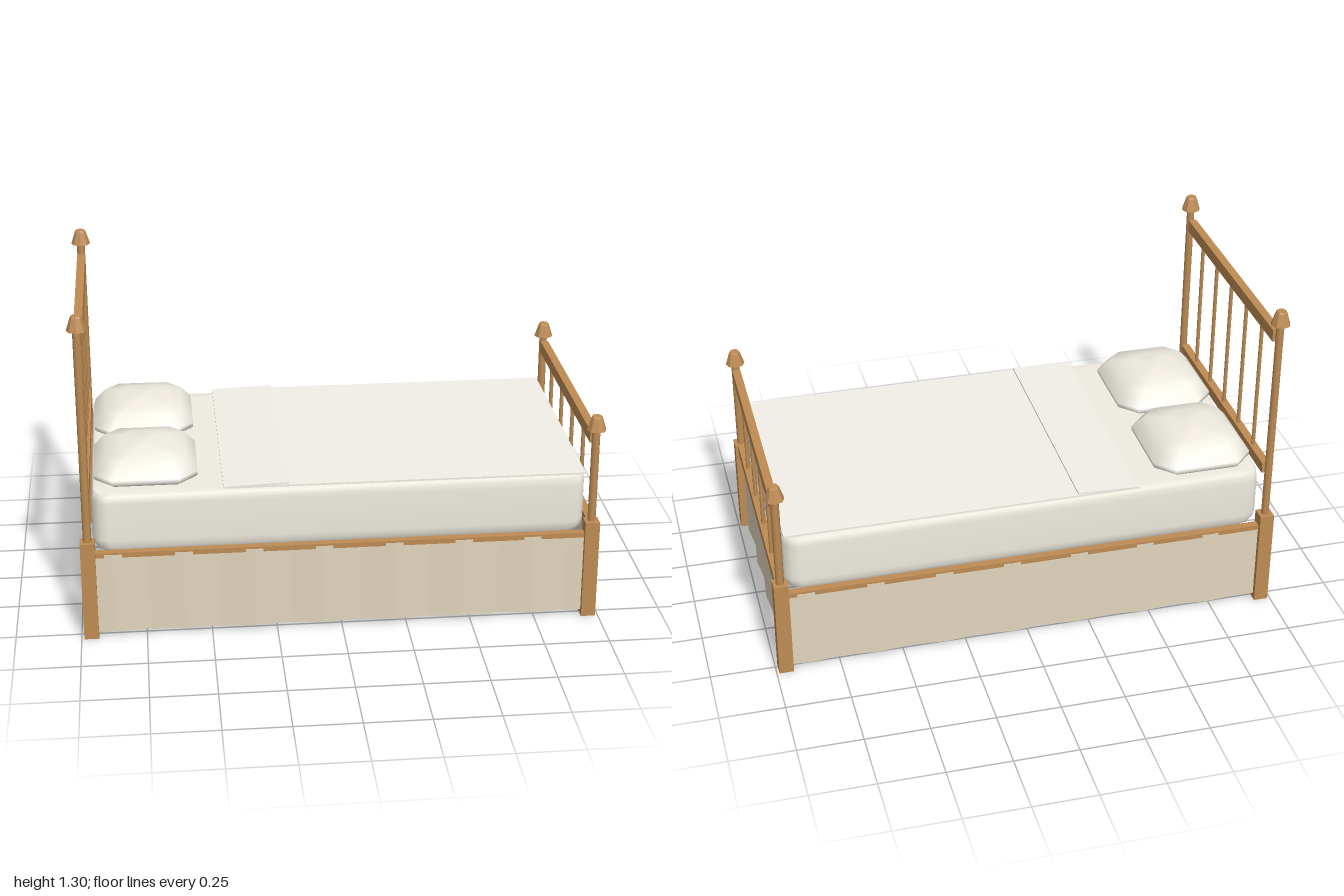
import * as THREE from 'three';

const mat = (color, extra = {}) => new THREE.MeshStandardMaterial({ color, ...extra });

export function createModel() {
  const bed = new THREE.Group();
  bed.name = 'bed';
  const wood = mat(0xbe8c54);
  const woodFlat = mat(0xbe8c54, { flatShading: true });
  const cloth = mat(0xe2d5bc, { flatShading: true, side: THREE.DoubleSide });
  const cream = mat(0xf0ece0, { side: THREE.DoubleSide });
  const linen = mat(0xf2efe8);

  const add = (name, geo, material, x = 0, y = 0, z = 0) => {
    const mesh = new THREE.Mesh(geo, material);
    mesh.name = name;
    mesh.position.set(x, y, z);
    bed.add(mesh);
    return mesh;
  };
  // Box given by its minimum and maximum on each axis
  const block = (name, material, x0, x1, y0, y1, z0, z1) =>
    add(name, new THREE.BoxGeometry(x1 - x0, y1 - y0, z1 - z0), material,
      (x0 + x1) / 2, (y0 + y1) / 2, (z0 + z1) / 2);
  const rod = (name, r, y0, y1, x, z) =>
    add(name, new THREE.CylinderGeometry(r, r, y1 - y0, 8), wood, x, (y0 + y1) / 2, z);

  // Cushion: rounded rectangles stacked as [height, inset] rings, closed on top
  function cushion(hx, hz, radius, steps, rings, closedBottom) {
    const pos = [], index = [];
    const n = 4 * (steps + 1);
    for (const [y, inset] of rings) {
      const fx = (hx - inset) / hx, fz = (hz - inset) / hz;
      for (let c = 0; c < 4; c++) {
        const sx = c === 0 || c === 3 ? 1 : -1, sz = c < 2 ? 1 : -1;
        for (let s = 0; s <= steps; s++) {
          const a = (c + s / steps) * Math.PI / 2;
          pos.push((sx * (hx - radius) + Math.cos(a) * radius) * fx, y,
            (sz * (hz - radius) + Math.sin(a) * radius) * fz);
        }
      }
    }
    for (let r = 0; r < rings.length - 1; r++) {
      for (let i = 0; i < n; i++) {
        const j = (i + 1) % n, a = r * n + i, b = r * n + j;
        index.push(a, a + n, b, b, a + n, b + n);
      }
    }
    const bottom = pos.length / 3, top = bottom + 1, last = (rings.length - 1) * n;
    pos.push(0, rings[0][0], 0, 0, rings[rings.length - 1][0], 0);
    for (let i = 0; i < n; i++) {
      const j = (i + 1) % n;
      index.push(top, last + j, last + i);
      if (closedBottom) index.push(bottom, i, j);
    }
    const geo = new THREE.BufferGeometry();
    geo.setAttribute('position', new THREE.Float32BufferAttribute(pos, 3));
    geo.setIndex(index);
    geo.computeVertexNormals();
    return geo;
  }

  // Gathered cloth hanging in soft waves
  function skirt(name, width, waves, x, z, turn) {
    const geo = new THREE.PlaneGeometry(width, 0.325, waves * 4, 1);
    const p = geo.attributes.position;
    for (let i = 0; i < p.count; i++) {
      p.setZ(i, 0.006 * Math.sin((p.getX(i) / width + 0.5) * waves * Math.PI * 2));
    }
    geo.computeVertexNormals();
    add(name, geo, cloth, x, 0.1835, z).rotation.y = turn;
  }

  // Corner posts: square leg, round upright, flared cap
  const PX = 0.962, PZ = 0.514;
  const capShape = [[0, 0], [0.038, 0], [0.022, 0.05], [0.018, 0.057], [0, 0.057]]
    .map(([r, y]) => new THREE.Vector2(r, y));
  for (const [x, height] of [[-PX, 1.243], [PX, 0.776]]) {
    for (const z of [-PZ, PZ]) {
      block('leg', wood, x - 0.028, x + 0.028, 0, 0.4, z - 0.029, z + 0.029);
      rod('post', 0.016, 0.4, height, x, z);
      add('postCap', new THREE.LatheGeometry(capShape, 8), woodFlat, x, height, z);
    }
  }

  // Headboard and footboard rails with spindles
  const RZ = 0.487;
  const rail = (name, x, y0, y1) => block(name, wood, x - 0.016, x + 0.016, y0, y1, -RZ, RZ);
  rail('headTopRail', -PX, 1.157, 1.205);
  rail('headLowerRail', -PX, 0.572, 0.615);
  rail('footTopRail', PX, 0.712, 0.76);
  rail('footLowerRail', PX, 0.36, 0.4);
  for (let i = -2; i <= 2; i++) rod('headSpindle', 0.008, 0.61, 1.16, -PX, i * 0.17);
  for (let i = 0; i < 4; i++) rod('footSpindle', 0.008, 0.395, 0.715, PX, -0.308 + i * 0.2053);

  // Side rails and skirts; the head end stays open
  for (const s of [-1, 1]) {
    block('sideRail', wood, -0.935, 0.935, 0.333, 0.353, s * 0.512 - 0.015, s * 0.512 + 0.015);
    skirt('sideSkirt', 1.87, 7, 0, s * 0.524, s > 0 ? 0 : Math.PI);
  }
  skirt('footSkirt', 0.97, 4, PX, 0, Math.PI / 2);

  // Mattress: a hollow shell, open underneath
  add('mattress', cushion(0.942, 0.5, 0.06, 3,
    [[0.344, 0.015], [0.36, 0.006], [0.39, 0], [0.54, 0], [0.57, 0.003], [0.578, 0.012], [0.578, 0.05]], false), cream);

  // Thin blanket with a turned-back fold that rises towards its loose edge
  block('blanket', linen, -0.42, 0.935, 0.585, 0.592, -0.495, 0.495);
  const fold = new THREE.BoxGeometry(0.245, 0.007, 0.99);
  const fp = fold.attributes.position;
  for (let i = 0; i < fp.count; i++) if (fp.getX(i) < 0) fp.setY(i, fp.getY(i) - 0.01);
  fold.computeVertexNormals();
  add('blanketFold', fold, linen, -0.3225, 0.599, 0);

  // Pillows
  for (const z of [-0.237, 0.237]) {
    add('pillow', cushion(0.196, 0.214, 0.07, 1,
      [[0.587, 0.01], [0.597, 0], [0.614, 0], [0.667, 0.043], [0.681, 0.11], [0.692, 0.175]], true), cream, -0.734, 0, z);
  }
  return bed;
}
